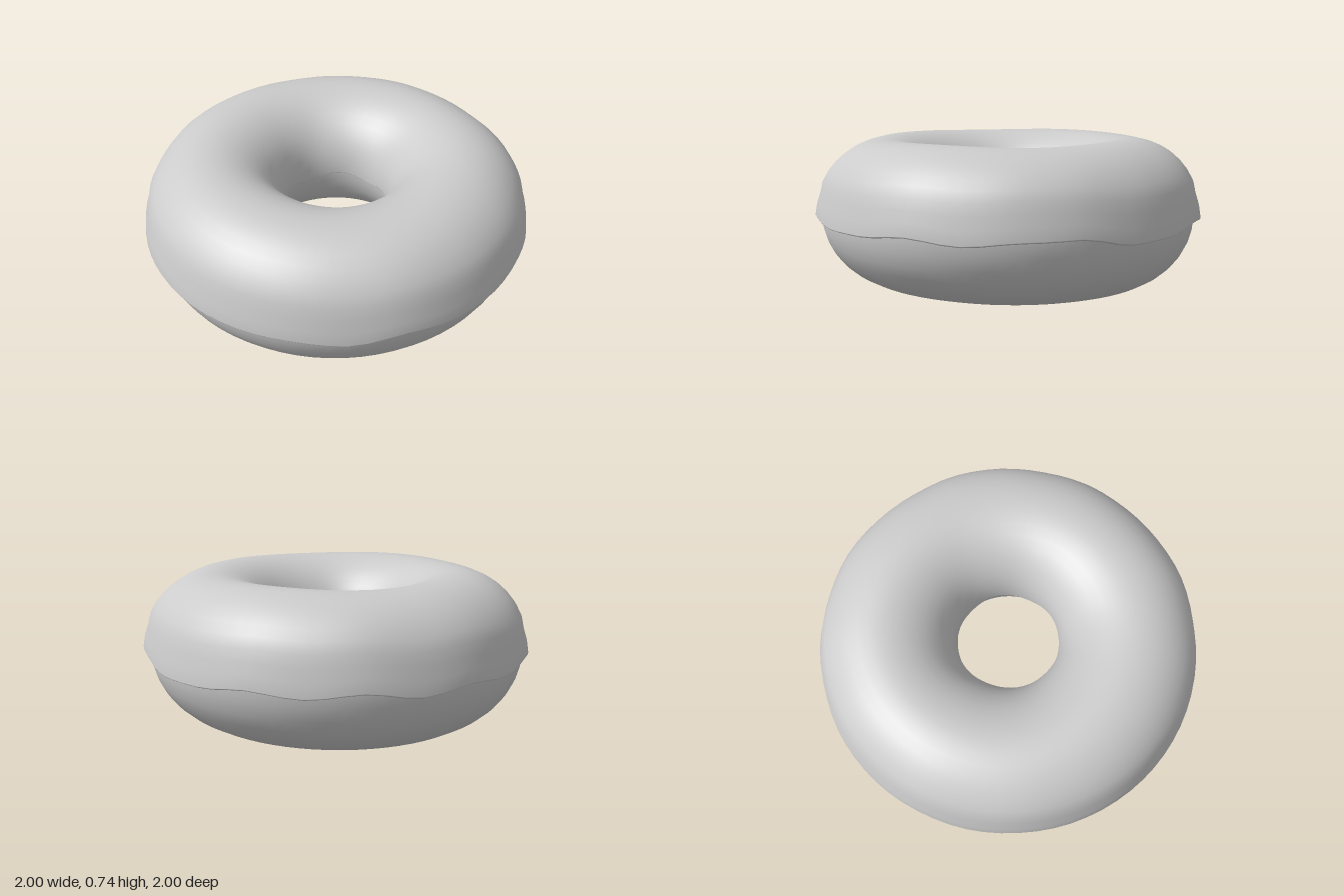
import * as THREE from 'three';

const SIDES = 72;      // steps around the ring
const MID = 0.635;     // radius of the ring's centre line
const MIDDLE_Y = 0.36;

// Height of the icing's wavy hem, every 15 degrees from +x towards +z
const HEM = [
  0.355, 0.35, 0.37, 0.34, 0.352, 0.345, 0.34, 0.345, 0.34, 0.358, 0.34, 0.363,
  0.34, 0.36, 0.335, 0.37, 0.345, 0.365, 0.34, 0.335, 0.38, 0.375, 0.355, 0.378,
];

function hemHeight(theta) {
  const f = (theta / (2 * Math.PI)) * HEM.length;
  const i = Math.floor(f);
  const t = f - i;
  const s = t * t * (3 - 2 * t);
  return THREE.MathUtils.lerp(HEM[i % HEM.length], HEM[(i + 1) % HEM.length], s);
}

// Sweeps a closed cross-section, a list of [radius, y] for each angle, round the y axis
function ringGeometry(section) {
  const positions = [];
  const index = [];
  let n = 0;
  for (let i = 0; i < SIDES; i++) {
    const theta = (i / SIDES) * 2 * Math.PI;
    const points = section(theta);
    n = points.length;
    for (const [r, y] of points) positions.push(r * Math.cos(theta), y, r * Math.sin(theta));
  }
  for (let i = 0; i < SIDES; i++) {
    const next = (i + 1) % SIDES;
    for (let j = 0; j < n; j++) {
      const k = (j + 1) % n;
      const a = i * n + j, b = i * n + k, c = next * n + j, d = next * n + k;
      index.push(a, b, c, b, d, c);
    }
  }
  const geometry = new THREE.BufferGeometry();
  geometry.setAttribute('position', new THREE.Float32BufferAttribute(positions, 3));
  geometry.setIndex(index);
  geometry.computeVertexNormals();
  return geometry;
}

// Rounded dough, its underside slightly uneven
function doughSection(theta) {
  const lift = 0.012 + 0.009 * Math.cos(theta) + 0.004 * Math.sin(theta);
  const points = [];
  for (let j = 0; j < 32; j++) {
    const phi = (j / 32) * 2 * Math.PI;
    const s = Math.sin(phi);
    points.push([
      MID + 0.333 * Math.cos(phi),
      MIDDLE_Y + (s > 0 ? 0.35 * s : (MIDDLE_Y - lift) * s),
    ]);
  }
  return points;
}

// Icing shell: outer skin from outer hem to inner hem, then back along the dough
function icingSection(theta) {
  const hem = hemHeight(theta);
  const innerHem = 0.365 + 0.012 * Math.sin(theta * 5);
  const top = 0.736 + 0.004 * Math.cos(theta * 4 + 0.6);
  const steps = 20;
  const points = [];
  const arc = (phi, radius, height) => {
    const s = Math.sin(phi);
    const base = THREE.MathUtils.lerp(innerHem, hem, (1 + Math.cos(phi)) / 2);
    // Shallow dent above the outer hem leaves a thick rolled edge
    const dent = phi < Math.PI / 2 ? 0.012 * Math.exp(-(((s - 0.27) / 0.13) ** 2)) : 0;
    return [MID + radius * Math.cos(phi) - dent, base + (height - base) * s];
  };
  points.push([MID + 0.325, hem - 0.008], [MID + 0.355, hem - 0.008], [MID + 0.363, hem - 0.004]);
  for (let j = 0; j <= steps; j++) points.push(arc((j / steps) * Math.PI, 0.365, top));
  points.push([MID - 0.361, innerHem - 0.005], [MID - 0.325, innerHem - 0.006]);
  for (let j = steps - 1; j >= 1; j--) points.push(arc((j / steps) * Math.PI, 0.32, 0.69));
  return points;
}

export function createModel() {
  const group = new THREE.Group();
  group.name = 'doughnut';
  const material = new THREE.MeshStandardMaterial({ color: 0xcccccc });

  const dough = new THREE.Mesh(ringGeometry(doughSection), material);
  dough.name = 'dough';
  dough.position.x = -0.007;

  const icing = new THREE.Mesh(ringGeometry(icingSection), material);
  icing.name = 'icing';
  icing.position.set(-0.005, 0, -0.003);

  group.add(dough, icing);
  return group;
}
